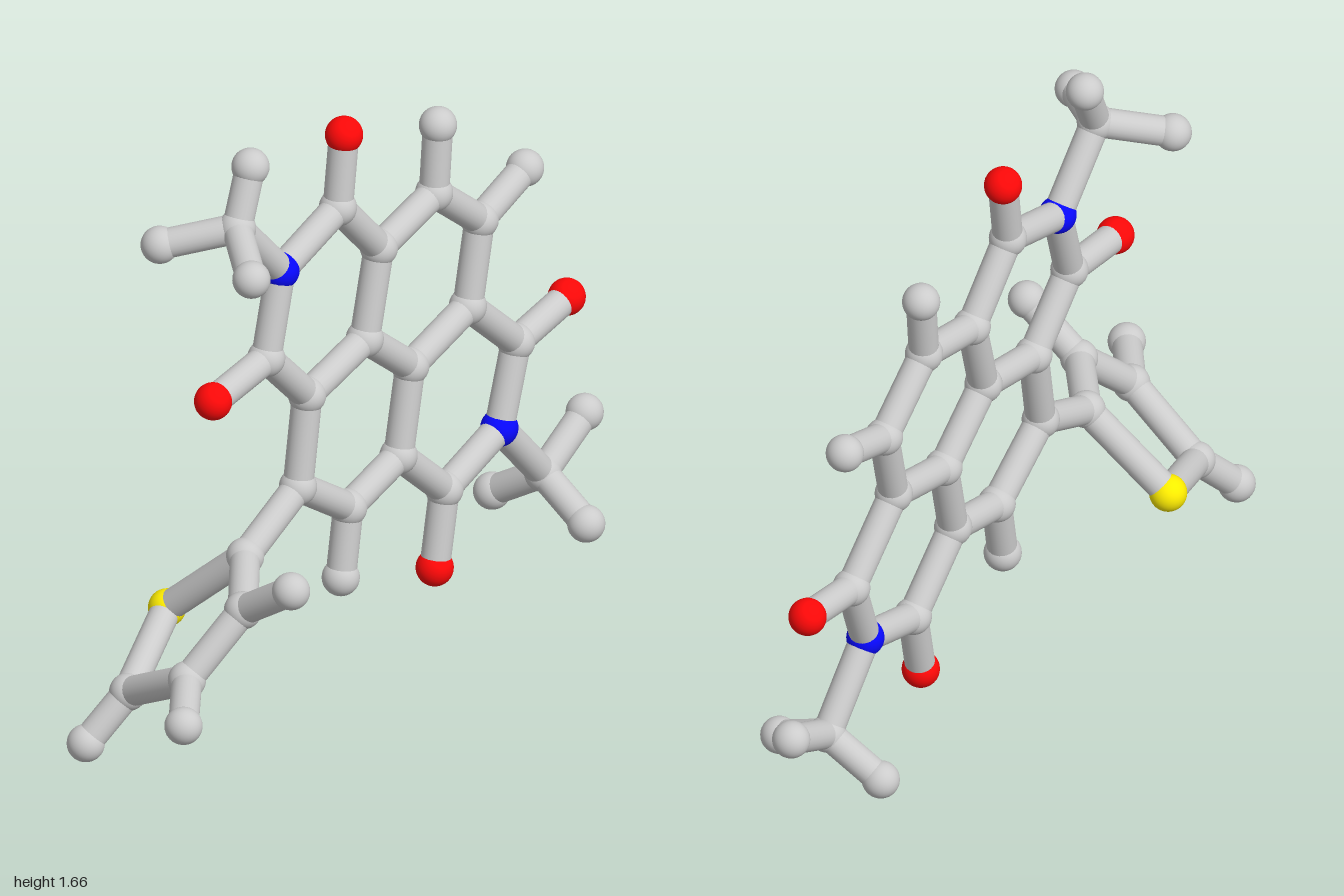
import * as THREE from 'three';

const ATOM_R = 0.05, BOND_R = 0.04;
const COLORS = { C: 0xcccccc, H: 0xcccccc, O: 0xff0808, N: 0x0808ff, S: 0xffee00 };
const NAMES = { C: 'carbon', H: 'hydrogen', O: 'oxygen', N: 'nitrogen', S: 'sulfur' };

// Flat fused-ring core: x, y only; depth follows one slightly tilted plane
const core = {
  N1: [-0.26, 1.26], C2: [-0.02, 1.34], C3: [0.14, 1.15], C4: [0.37, 1.21],
  C5: [0.55, 1.05], C6: [0.49, 0.82], C7: [0.25, 0.75], C8: [0.07, 0.91],
  C9: [-0.17, 0.85], C10: [-0.33, 1.03], C11: [-0.22, 0.60], C12: [-0.02, 0.45],
  C13: [0.19, 0.51], C14: [0.37, 0.33], N2: [0.60, 0.41], C15: [0.68, 0.63],
  O1: [0.015, 1.54], O2: [-0.55, 1.0], O3: [0.32, 0.12], O4: [0.89, 0.67],
  H4: [0.395, 1.40], H5: [0.74, 1.12], H12: [-0.06, 0.26],
};
const planeZ = (x, y) => -0.038 - 0.023 * x - 0.04 * y;

// Two methyl groups
const methyls = {
  C20: [-0.43, 1.46, -0.086], H20: [-0.36, 1.61, -0.10], H21: [-0.56, 1.41, -0.24], H22: [-0.555, 1.42, 0.07],
  C30: [0.77, 0.20, -0.065], H30: [0.95, 0.30, -0.075], H31: [0.745, 0.10, -0.217], H32: [0.755, 0.115, 0.097],
};

// Five-sided side ring, turned out of the core plane
const sideRing = {
  C40: [-0.44, 0.49, -0.05], S1: [-0.495, 0.277, -0.27], C41: [-0.63, 0.47, 0.105],
  C42: [-0.79, 0.31, 0.05], C43: [-0.76, 0.175, -0.177],
  H41: [-0.63, 0.59, 0.27], H42: [-0.95, 0.29, 0.175], H43: [-0.87, 0.05, -0.228],
};

// Chains of bonded atoms
const chains = [
  'N1 C2 C3 C8 C9 C10 N1', 'C3 C4 C5 C6 C7 C8', 'C9 C11 C12 C13 C7', 'C13 C14 N2 C15 C6',
  'C2 O1', 'C10 O2', 'C14 O3', 'C15 O4', 'C4 H4', 'C5 H5', 'C12 H12',
  'N1 C20 H20', 'H21 C20 H22', 'N2 C30 H30', 'H31 C30 H32',
  'C11 C40 C41 C42 C43 S1 C40', 'C41 H41', 'C42 H42', 'C43 H43',
];

export function createModel() {
  const model = new THREE.Group();
  model.name = 'molecule';
  const materials = {};
  for (const e in COLORS) materials[e] = new THREE.MeshStandardMaterial({ color: COLORS[e] });

  // Atoms
  const ball = new THREE.SphereGeometry(ATOM_R, 32, 20);
  const position = {};
  const addAtoms = (list, groupName) => {
    const group = new THREE.Group();
    group.name = groupName;
    for (const [id, [x, y, z = planeZ(x, y)]] of Object.entries(list)) {
      const mesh = new THREE.Mesh(ball, materials[id[0]]);
      mesh.name = NAMES[id[0]] + ' atom ' + id.slice(1);
      mesh.position.set(x, y, z);
      position[id] = mesh.position;
      group.add(mesh);
    }
    model.add(group);
  };
  addAtoms(core, 'coreAtoms');
  addAtoms(methyls, 'methylAtoms');
  addAtoms(sideRing, 'sideRingAtoms');

  // Bonds: plain rods between atom centres
  const bonds = new THREE.Group();
  bonds.name = 'bonds';
  const up = new THREE.Vector3(0, 1, 0);
  const rod = new THREE.CylinderGeometry(BOND_R, BOND_R, 1, 24, 1, true);
  for (const chain of chains) {
    const ids = chain.split(' ');
    for (let i = 1; i < ids.length; i++) {
      const a = position[ids[i - 1]], b = position[ids[i]];
      const dir = b.clone().sub(a);
      const mesh = new THREE.Mesh(rod, materials.C);
      mesh.name = 'bond';
      mesh.scale.y = dir.length();
      mesh.position.copy(a).add(b).multiplyScalar(0.5);
      mesh.quaternion.setFromUnitVectors(up, dir.normalize());
      bonds.add(mesh);
    }
  }
  model.add(bonds);
  return model;
}
